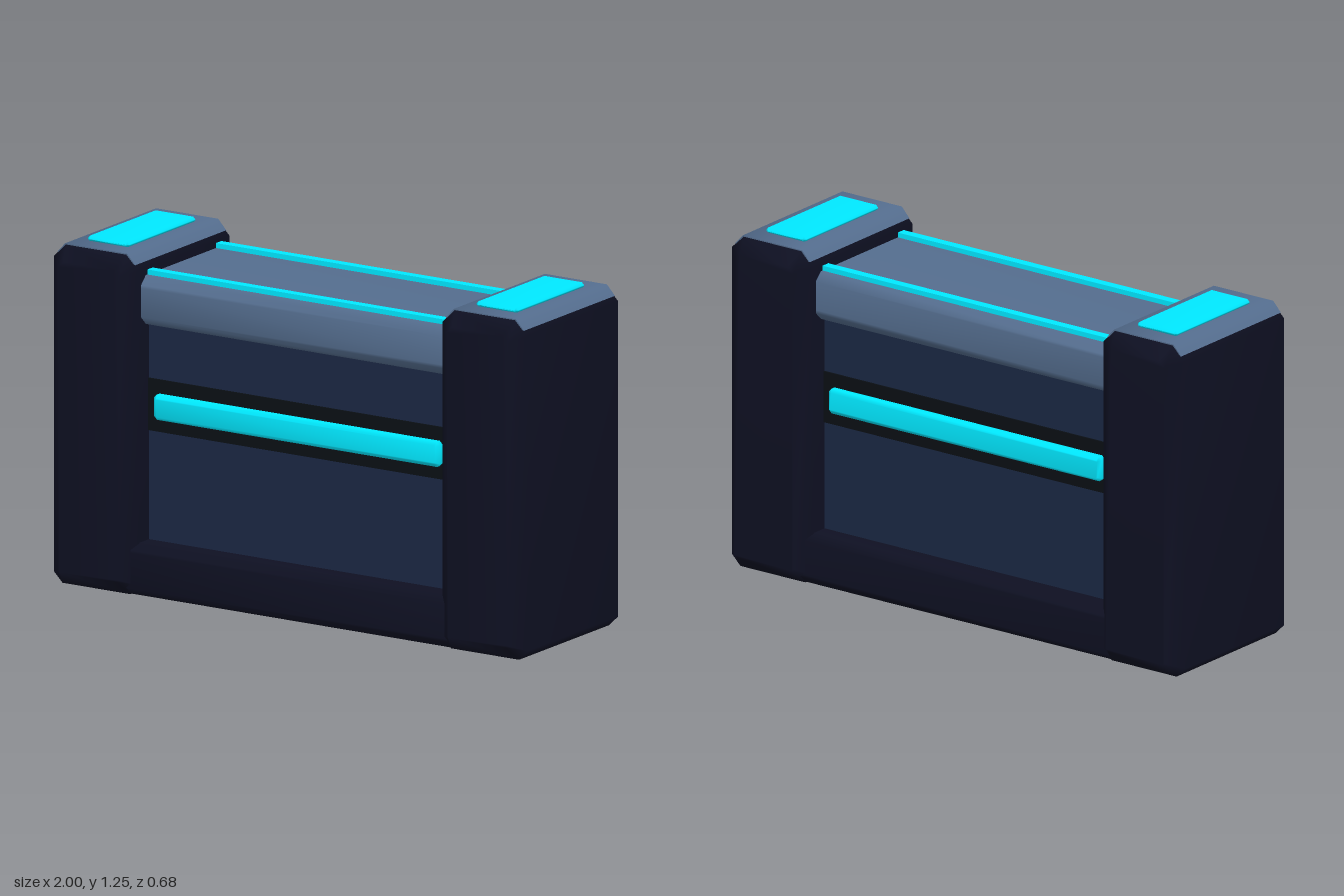
import * as THREE from 'three';
import { mergeVertices, toCreasedNormals } from 'three/addons/utils/BufferGeometryUtils.js';

const material = (color) => new THREE.MeshStandardMaterial({ color });
const DARK = material(0x0e1022);
const NAVY = material(0x1a2743);
const BLACK = material(0x0a0f14);
const SLATE = material(0x546d8e);
const CYAN = material(0x00e8ff);

const outline = (points) => new THREE.Shape(points.map(([x, y]) => new THREE.Vector2(x, y)));

// Rectangle outline with cut corners; top and bottom cuts may differ
function cutRect(w, h, top, bottom) {
  const x = w / 2, y = h / 2;
  return outline([
    [-x + bottom, -y], [x - bottom, -y], [x, -y + bottom], [x, y - top],
    [x - top, y], [-x + top, y], [-x, y - top], [-x, -y + bottom],
  ]);
}

// Chamfered block centred on the origin; shared, area-weighted normals
// keep the large faces flat and shade softly across the chamfers
function chamferBox(w, h, d, c, bottom = c) {
  const geometry = new THREE.ExtrudeGeometry(cutRect(w, h, c, bottom), {
    depth: d - 2 * c, bevelEnabled: true, bevelSegments: 1,
    bevelSize: c, bevelThickness: c, bevelOffset: -c,
  });
  geometry.translate(0, 0, -(d / 2 - c));
  geometry.deleteAttribute('normal');
  geometry.deleteAttribute('uv');
  const smooth = mergeVertices(geometry);
  smooth.computeVertexNormals();
  return smooth;
}

function add(parent, name, geometry, mat, x, y, z) {
  const mesh = new THREE.Mesh(geometry, mat);
  mesh.name = name;
  mesh.position.set(x, y, z);
  parent.add(mesh);
}

export function createModel() {
  const model = new THREE.Group();
  model.name = 'barrier';

  // End pillars with a slate cap and a glowing pad on top
  const capShape = outline([[-0.165, 1.2], [0.165, 1.2], [0.131, 1.237], [-0.131, 1.237]]);
  for (const [side, s] of [['left', 1], ['right', -1]]) {
    const pillar = new THREE.Group();
    pillar.name = side + 'Pillar';
    pillar.position.x = s * 0.82;
    add(pillar, 'pillarBody', chamferBox(0.36, 1.235, 0.68, 0.052, 0.037), DARK, 0, 0.6175, 0);

    const cap = new THREE.ExtrudeGeometry(capShape, { depth: 0.58, bevelEnabled: false });
    add(pillar, 'pillarCap', toCreasedNormals(cap, 0.9), SLATE, 0, 0, -0.29);

    add(pillar, 'topPad', chamferBox(0.176, 0.022, 0.436, 0.009), CYAN, 0, 1.244, 0);
    model.add(pillar);
  }

  // Wall between the pillars
  add(model, 'base', chamferBox(1.46, 0.19, 0.62, 0.025), DARK, 0, 0.097, 0);
  add(model, 'wallPanel', new THREE.BoxGeometry(1.34, 0.9, 0.45), NAVY, 0, 0.6, 0);
  add(model, 'recessBand', new THREE.BoxGeometry(1.34, 0.19, 0.462), BLACK, 0, 0.685, 0);
  add(model, 'topRail', chamferBox(1.44, 0.178, 0.55, 0.03), SLATE, 0, 1.068, 0);

  // Light bars on both faces and light strips along the rail
  for (const [face, s] of [['front', 1], ['back', -1]]) {
    add(model, face + 'LightBar', chamferBox(1.206, 0.092, 0.06, 0.012), CYAN, 0, 0.684, s * 0.23);
    add(model, face + 'RailStrip', new THREE.BoxGeometry(1.3, 0.025, 0.034), CYAN, 0, 1.1625, s * 0.219);
  }

  return model;
}
